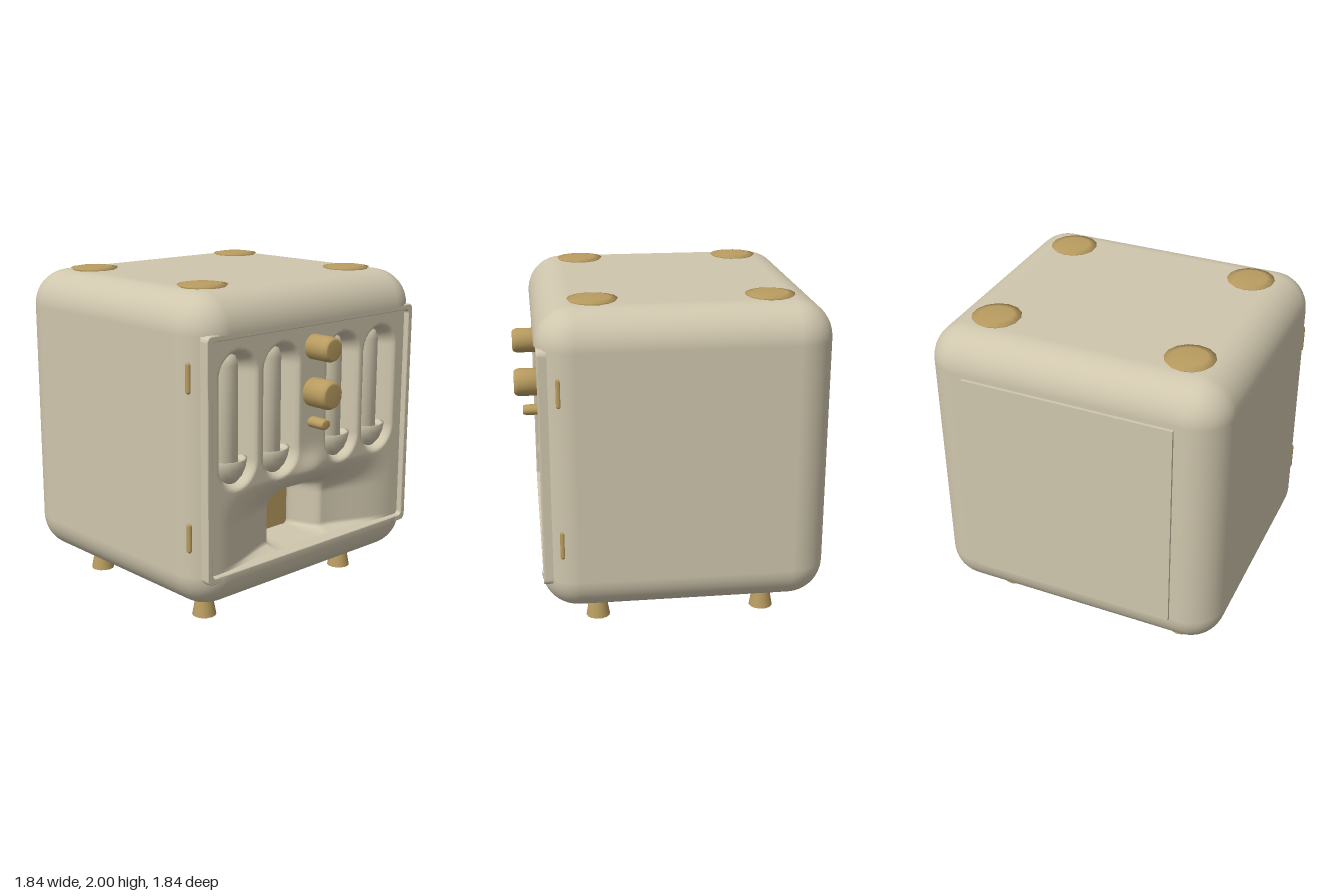
import * as THREE from 'three';
import { RoundedBoxGeometry } from 'three/addons/geometries/RoundedBoxGeometry.js';

const MID_Y = 1.07;
const BAYS = [-0.6, -0.26, 0.26, 0.59];

export function createModel() {
  const model = new THREE.Group();
  const cream = new THREE.MeshStandardMaterial({ color: 0xcfc6ad });
  cream.name = 'cream enamel';
  const brass = new THREE.MeshStandardMaterial({ color: 0xb99c60 });
  brass.name = 'brass';

  const add = (name, geometry, material, x = 0, y = 0, z = 0) => {
    const mesh = new THREE.Mesh(geometry, material);
    mesh.name = name;
    mesh.position.set(x, y, z);
    model.add(mesh);
    return mesh;
  };
  const lathe = (points, sides) =>
    new THREE.LatheGeometry(points.map(([r, y]) => new THREE.Vector2(r, y)), sides);

  // Rounded cabinet, open at the front
  add('cabinet', openCabinet(), cream, 0, MID_Y, -0.05);

  // Thin raised rim around the opening
  const rim = roundedRect(0.852, 0.705, 0.03);
  rim.holes.push(roundedRect(0.825, 0.68, 0.03));
  add('frontRim', new THREE.ExtrudeGeometry(rim, {
    depth: 0.07, bevelEnabled: true, bevelThickness: 0.01, bevelSize: 0.006, bevelSegments: 2,
  }), cream, 0, 1.055, 0.71);

  // Sculpted front with four bays and a central chute
  const front = new THREE.PlaneGeometry(1.68, 1.4, 130, 110);
  const p = front.attributes.position;
  for (let i = 0; i < p.count; i++) p.setZ(i, frontDepth(p.getX(i), p.getY(i) + 1.055));
  front.computeVertexNormals();
  add('sculptedFront', front, cream, 0, 1.055, 0);

  // Tubes standing in cups
  const tube = lathe([[0, 0.98], [0.085, 0.98], [0.085, 1.56], [0.07, 1.61], [0.04, 1.63], [0, 1.63]], 20);
  const cup = lathe([[0, 0.875], [0.06, 0.88], [0.095, 0.92], [0.115, 0.97], [0.125, 1.02], [0.11, 1.02], [0.085, 1.0]], 20);
  for (const x of BAYS) {
    add('tube', tube, cream, x, 0, 0.63);
    add('cup', cup, cream, x, 0, 0.65);
  }

  // Knobs on the central column
  const knob = (name, y, r, z0, z1, squash) => {
    const len = z1 - z0;
    const mesh = add(name, lathe([[0, 0], [r, 0], [r, len - 0.025], [r * 0.88, len - 0.005], [r * 0.75, len], [0, len]], 18), brass, 0, y, z0);
    mesh.rotation.x = Math.PI / 2;
    mesh.scale.z = squash;
  };
  knob('upperKnob', 1.6, 0.075, 0.7, 0.92, 1);
  knob('middleKnob', 1.33, 0.087, 0.7, 0.92, 1);
  knob('lowerKnob', 1.147, 0.042, 0.7, 0.87, 0.78);

  // Plate at the back of the chute
  add('chutePlate', new THREE.ShapeGeometry(roundedRect(0.125, 0.13, 0.035)), brass, 0, 0.52, 0.425);

  // Top caps and feet
  const cap = lathe([[0, 1.96], [0.12, 1.965], [0.146, 1.99], [0.1, 1.998], [0, 2]], 14);
  const foot = new THREE.CylinderGeometry(0.04, 0.073, 0.18, 14);
  for (const x of [-0.6, 0.59]) {
    for (const z of [-0.56, 0.46]) {
      add('topCap', cap, brass, x, 0, z);
      add('foot', foot, brass, x, 0.09, z);
    }
  }

  // Hinges down both sides
  const hinge = new THREE.CapsuleGeometry(0.016, 0.145, 3, 10);
  for (const x of [-0.895, 0.89]) {
    for (const y of [0.615, 1.53]) add('hinge', hinge, brass, x, y, 0.675);
  }

  // Back panel
  add('backPanel', new THREE.BoxGeometry(1.29, 1.36, 0.03), cream, 0, 1.06, -0.903);

  return model;
}

// Rounded box without the middle band of its front face
function openCabinet() {
  const r = 0.22;
  const box = new RoundedBoxGeometry(1.84, 1.82, 1.7, 5, r);
  const src = box.index ? box.toNonIndexed() : box;
  const pos = src.attributes.position, nor = src.attributes.normal;
  const zEdge = 0.85 - r + r * Math.SQRT1_2, yEdge = 0.91 - r;
  const positions = [], normals = [];
  for (let i = 0; i < pos.count; i += 3) {
    const corners = [i, i + 1, i + 2];
    const z = (pos.getZ(i) + pos.getZ(i + 1) + pos.getZ(i + 2)) / 3;
    if (z > zEdge - 0.002 && corners.every((k) => Math.abs(pos.getY(k)) < yEdge + 0.002)) continue;
    for (const k of corners) {
      positions.push(pos.getX(k), pos.getY(k), pos.getZ(k));
      normals.push(nor.getX(k), nor.getY(k), nor.getZ(k));
    }
  }
  const geometry = new THREE.BufferGeometry();
  geometry.setAttribute('position', new THREE.Float32BufferAttribute(positions, 3));
  geometry.setAttribute('normal', new THREE.Float32BufferAttribute(normals, 3));
  return geometry;
}

// z of the sculpted front at a point
function frontDepth(x, y) {
  const { smoothstep, clamp } = THREE.MathUtils;
  const ax = Math.abs(x);
  let z = 0.755;
  // bays with round ends
  for (const c of BAYS) {
    const d = Math.hypot(x - c, y - clamp(y, 1.0, 1.51));
    z -= 0.21 * (1 - smoothstep(d, 0.06, 0.15));
  }
  // hood bulging over the chute
  z += 0.035 * Math.exp(-((x / 0.12) ** 2) - ((y - 0.87) / 0.08) ** 2);
  // flared funnel, then the narrow chute behind it
  const low = (1 - smoothstep(y, 0.62, 0.86)) * smoothstep(y, 0.36, 0.4);
  z -= 0.15 * low * (1 - smoothstep(ax, 0.13, 0.75));
  const chute = (1 - smoothstep(y, 0.65, 0.76)) * smoothstep(y, 0.36, 0.39);
  z -= 0.19 * chute * (1 - smoothstep(ax, 0.125, 0.24));
  return z;
}

function roundedRect(w, h, r) {
  const s = new THREE.Shape();
  s.absarc(w - r, h - r, r, 0, Math.PI / 2);
  s.absarc(-w + r, h - r, r, Math.PI / 2, Math.PI);
  s.absarc(-w + r, -h + r, r, Math.PI, Math.PI * 1.5);
  s.absarc(w - r, -h + r, r, Math.PI * 1.5, Math.PI * 2);
  s.closePath();
  return s;
}
